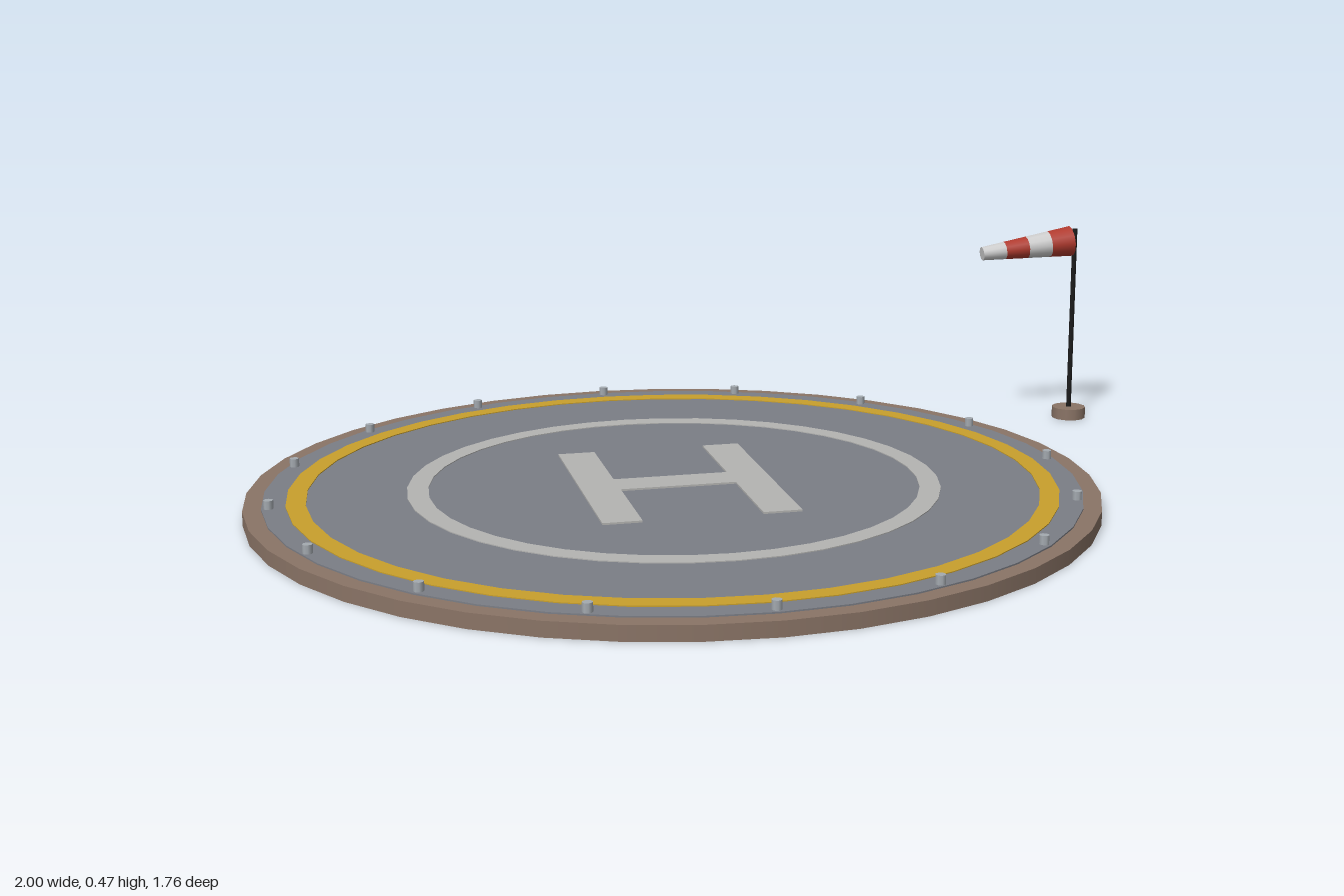
import * as THREE from 'three';

const mat = (color) => new THREE.MeshStandardMaterial({ color });
const stone = mat(0x8a7466), asphalt = mat(0x7b7e86), yellow = mat(0xc9a02c);
const paint = mat(0xb4b4b2), black = mat(0x1a1a1a), lamp = mat(0xa4aab0);
const red = mat(0xb03a2e), white = mat(0xcfcfcf);

const SEGMENTS = 40;

function add(parent, name, geometry, material, x = 0, y = 0, z = 0) {
  const mesh = new THREE.Mesh(geometry, material);
  mesh.name = name;
  mesh.position.set(x, y, z);
  parent.add(mesh);
  return mesh;
}

// Upright cylinder standing on height y
function post(parent, name, material, r, h, sides, x, y, z) {
  return add(parent, name, new THREE.CylinderGeometry(r, r, h, sides), material, x, y + h / 2, z);
}

// Flat painted ring with a slight thickness
function paintedRing(parent, name, inner, outer, top, material) {
  const pts = [[inner, 0.031], [outer, 0.031], [outer, top], [inner, top], [inner, 0.031]];
  // Doubled points keep the edges crisp
  const profile = [];
  for (let i = 0; i < 4; i++) {
    profile.push(new THREE.Vector2(...pts[i]), new THREE.Vector2(...pts[i + 1]));
  }
  return add(parent, name, new THREE.LatheGeometry(profile, SEGMENTS), material);
}

function createPad() {
  const pad = new THREE.Group();
  pad.name = 'landingPad';
  post(pad, 'stoneRim', stone, 0.882, 0.03, SEGMENTS, 0, 0, 0);
  post(pad, 'asphaltSurface', asphalt, 0.845, 0.032, SEGMENTS, 0, 0.001, 0);
  paintedRing(pad, 'outerYellowRing', 0.757, 0.797, 0.035, yellow);
  paintedRing(pad, 'innerWhiteRing', 0.51, 0.554, 0.035, paint);

  // Landing mark: two uprights and a crossbar
  const mark = new THREE.Group();
  mark.name = 'landingMark';
  for (const s of [-1, 1]) {
    add(mark, 'markUpright', new THREE.BoxGeometry(0.08, 0.006, 0.54), paint, s * 0.162, 0.034, 0);
  }
  add(mark, 'markCrossbar', new THREE.BoxGeometry(0.244, 0.006, 0.08), paint, 0, 0.034, 0);
  pad.add(mark);

  // Edge lights around the rim
  for (let i = 0; i < 16; i++) {
    const a = (i / 16) * Math.PI * 2;
    post(pad, 'edgeLight', lamp, 0.01, 0.02, 8, 0.83 * Math.cos(a), 0.031, 0.83 * Math.sin(a));
  }
  return pad;
}

function createWindsock() {
  const windsock = new THREE.Group();
  windsock.name = 'windsock';
  post(windsock, 'windsockBase', stone, 0.04, 0.026, 12, 0, 0, 0);
  post(windsock, 'windsockPole', black, 0.006, 0.46, 8, 0, 0, 0);

  // Tapering sock of four alternating bands, drooping towards -x
  const sock = new THREE.Group();
  sock.name = 'sock';
  const length = 0.222, bands = 4, step = length / bands;
  const radius = (t) => THREE.MathUtils.lerp(0.036, 0.016, t);
  for (let i = 0; i < bands; i++) {
    const geo = new THREE.CylinderGeometry(radius((i + 1) / bands), radius(i / bands), step, 12);
    add(sock, 'sockBand', geo, i % 2 ? white : red, 0, (i + 0.5) * step, 0);
  }
  sock.position.set(-0.012, 0.431, 0);
  sock.rotation.z = Math.PI / 2 + 0.1;
  windsock.add(sock);
  return windsock;
}

export function createModel() {
  const model = new THREE.Group();
  model.name = 'helipad';
  const pad = createPad();
  pad.position.x = -0.118;
  const windsock = createWindsock();
  windsock.position.set(0.96, 0, -0.47);
  model.add(pad, windsock);
  return model;
}
